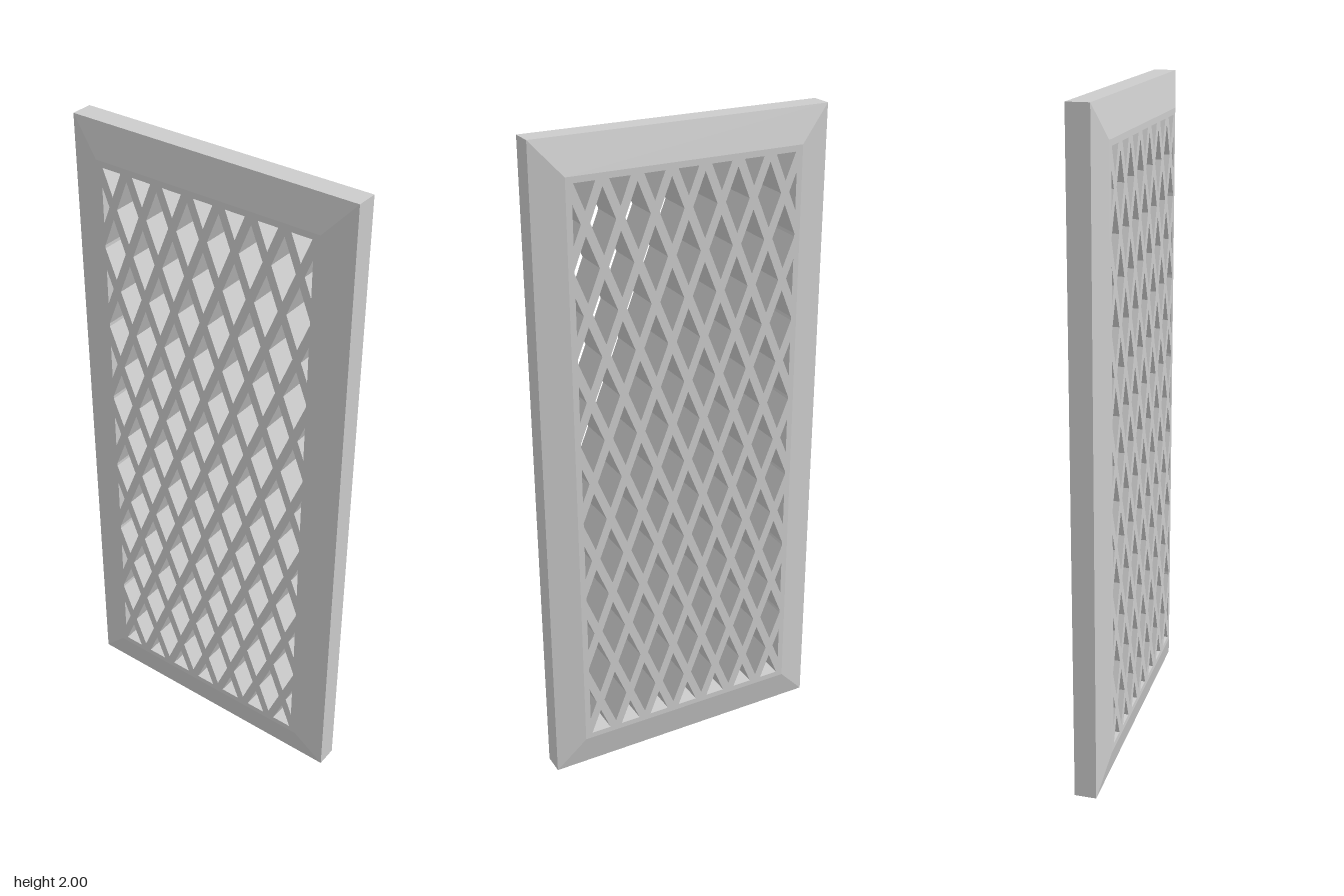
import * as THREE from 'three';

const MID = 1;                        // height of the panel centre
const OUTER = [0.455, 1.0];           // half width, half height of the rim
const FLAT = [0.363, 0.898];          // half size of the raised flat face
const OPEN = [0.345, 0.88];           // half size of the latticed area
const RIM_Z = 0.033, FACE_Z = 0.055;  // half thickness at rim and face
const PITCH = [0.103, 0.256];         // lattice spacing
const HOLE = [0.038, 0.094];          // half size of one diamond hole

// Keep the part of a convex polygon where sign * p[axis] <= limit
function clip(points, axis, sign, limit) {
  const out = [];
  points.forEach((p, i) => {
    const q = points[(i + 1) % points.length];
    const dp = limit - sign * p.getComponent(axis);
    const dq = limit - sign * q.getComponent(axis);
    if (dp >= 0) out.push(p);
    if (dp * dq < 0) out.push(p.clone().lerp(q, dp / (dp - dq)));
  });
  return out;
}

// Diamond hole at (cx, cy), trimmed to the latticed area
function diamond(cx, cy) {
  const [a, b] = HOLE;
  let points = [[a, 0], [0, b], [-a, 0], [0, -b]].map(([x, y]) => new THREE.Vector2(cx + x, cy + y));
  for (const axis of [0, 1]) for (const sign of [-1, 1]) points = clip(points, axis, sign, OPEN[axis]);
  return points;
}

// Solid face slab pierced by staggered rows of diamonds
function latticeGeometry() {
  const [w, h] = FLAT;
  const shape = new THREE.Shape([[-w, -h], [w, -h], [w, h], [-w, h]].map(p => new THREE.Vector2(...p)));
  for (let row = -7; row <= 7; row++) {
    const shift = row % 2 === 0 ? 0.5 : 0;
    for (let col = -4; col <= 4; col++) {
      const points = diamond((col + shift) * PITCH[0], row * PITCH[1] / 2);
      if (points.length > 2) shape.holes.push(new THREE.Path(points));
    }
  }
  const geometry = new THREE.ExtrudeGeometry(shape, { depth: 2 * FACE_Z, bevelEnabled: false });
  return geometry.translate(0, 0, -FACE_Z);
}

// Bevelled border: rectangular sections joined from back to front
function frameGeometry() {
  const sections = [[FLAT, -FACE_Z], [OUTER, -RIM_Z], [OUTER, RIM_Z], [FLAT, FACE_Z]];
  const corners = [[-1, -1], [1, -1], [1, 1], [-1, 1]];
  const at = (k, i) => {
    const [[w, h], z] = sections[k], [sx, sy] = corners[i % 4];
    return [sx * w, sy * h, z];
  };
  const positions = [];
  for (let k = 0; k < 3; k++) {
    for (let i = 0; i < 4; i++) {
      const a = at(k, i), b = at(k, i + 1), c = at(k + 1, i + 1), d = at(k + 1, i);
      positions.push(...a, ...b, ...c, ...a, ...c, ...d);
    }
  }
  const geometry = new THREE.BufferGeometry();
  geometry.setAttribute('position', new THREE.Float32BufferAttribute(positions, 3));
  geometry.computeVertexNormals();
  return geometry;
}

export function createModel() {
  const group = new THREE.Group();
  group.name = 'latticePanel';
  const material = new THREE.MeshStandardMaterial({ color: 0xcccccc, flatShading: true });
  const parts = { bevelledFrame: frameGeometry(), diamondLattice: latticeGeometry() };
  for (const [name, geometry] of Object.entries(parts)) {
    const mesh = new THREE.Mesh(geometry, material);
    mesh.name = name;
    mesh.position.y = MID;
    group.add(mesh);
  }
  return group;
}
